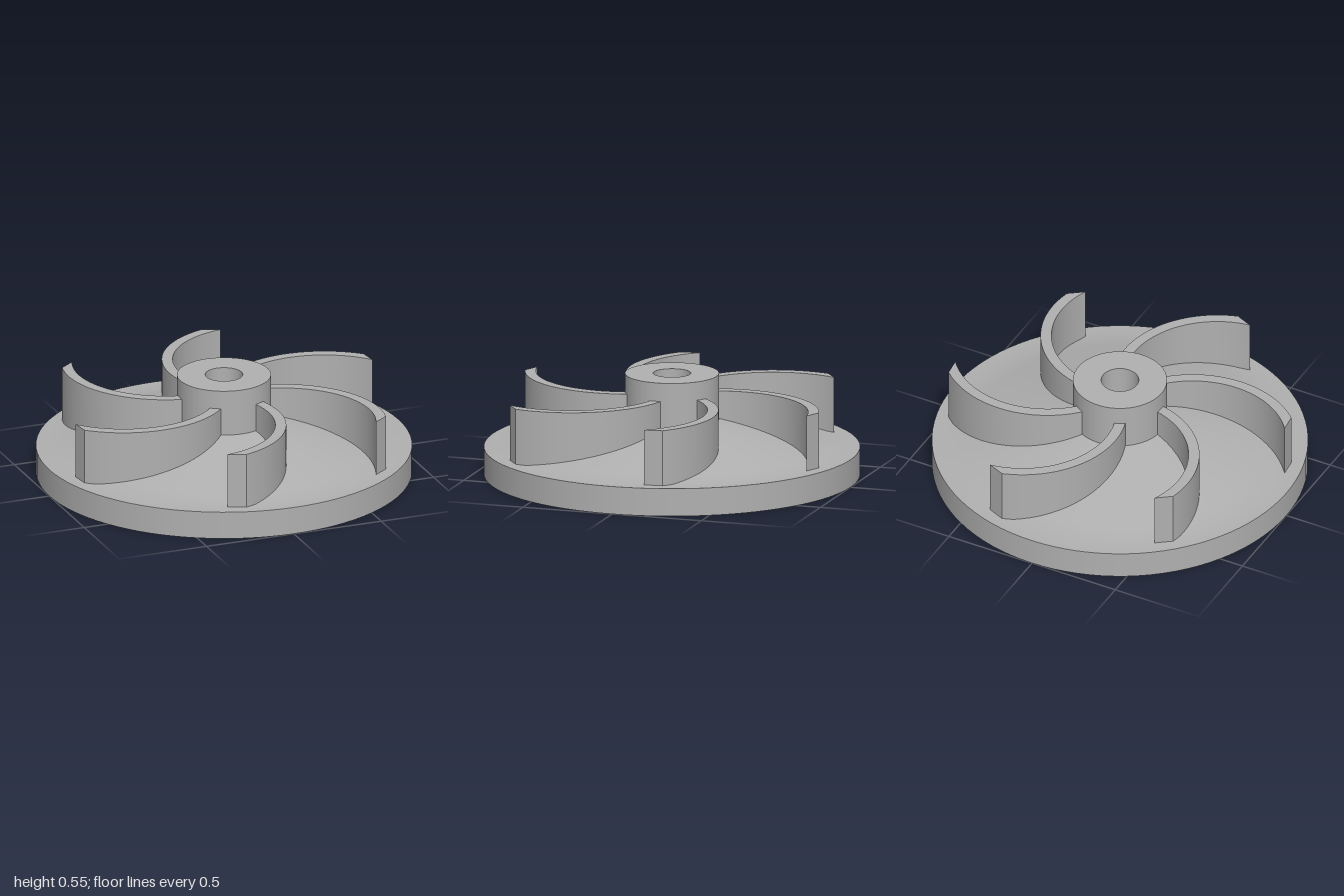
import * as THREE from 'three';
import { toCreasedNormals } from 'three/addons/utils/BufferGeometryUtils.js';

const grey = new THREE.MeshStandardMaterial({ color: 0xb0b0b0 });
grey.name = 'plain grey';

const deg = THREE.MathUtils.degToRad;

// Surface of revolution; each profile is smooth within itself, sharp against its neighbours
function turned(name, profile) {
  const points = profile.map(([r, y]) => new THREE.Vector2(r, y));
  const mesh = new THREE.Mesh(new THREE.LatheGeometry(points, 96), grey);
  mesh.name = name;
  return mesh;
}

// Curved vane: two concentric arcs, its root buried in the hub
function vaneGeometry() {
  const cx = 0.515, cy = -0.152, bottom = 0.12, top = 0.45;
  const shape = new THREE.Shape();
  shape.absarc(cx, cy, 0.497, deg(143), deg(37.4), true);
  shape.absarc(cx, cy, 0.555, deg(46.3), deg(143), false);
  shape.closePath();
  const geometry = new THREE.ExtrudeGeometry(shape, {
    depth: top - bottom, bevelEnabled: false, curveSegments: 28,
  });
  geometry.rotateX(-Math.PI / 2);
  geometry.translate(0, bottom, 0);
  return toCreasedNormals(geometry, 0.3);
}

export function createModel() {
  const model = new THREE.Group();
  model.name = 'impeller';

  // Back plate with a shallow cone rising to the hub
  const plate = new THREE.Group();
  plate.name = 'backPlate';
  plate.add(
    turned('plateUnderside', [[0.1, 0], [1, 0]]),
    turned('plateRim', [[1, 0], [1, 0.15]]),
    turned('plateCone', [[1, 0.15], [0.9, 0.15], [0.8, 0.173], [0.25, 0.3]]),
  );

  // Hub with a through bore
  const hub = new THREE.Group();
  hub.name = 'hub';
  hub.add(
    turned('hubWall', [[0.25, 0.3], [0.25, 0.55]]),
    turned('hubTop', [[0.25, 0.55], [0.1, 0.55]]),
    turned('hubBore', [[0.1, 0.55], [0.1, 0]]),
  );
  model.add(plate, hub);

  // Six swept vanes
  const geometry = vaneGeometry();
  for (let i = 0; i < 6; i++) {
    const vane = new THREE.Mesh(geometry, grey);
    vane.name = `vane${i + 1}`;
    vane.rotation.y = (i * Math.PI) / 3;
    model.add(vane);
  }
  return model;
}
